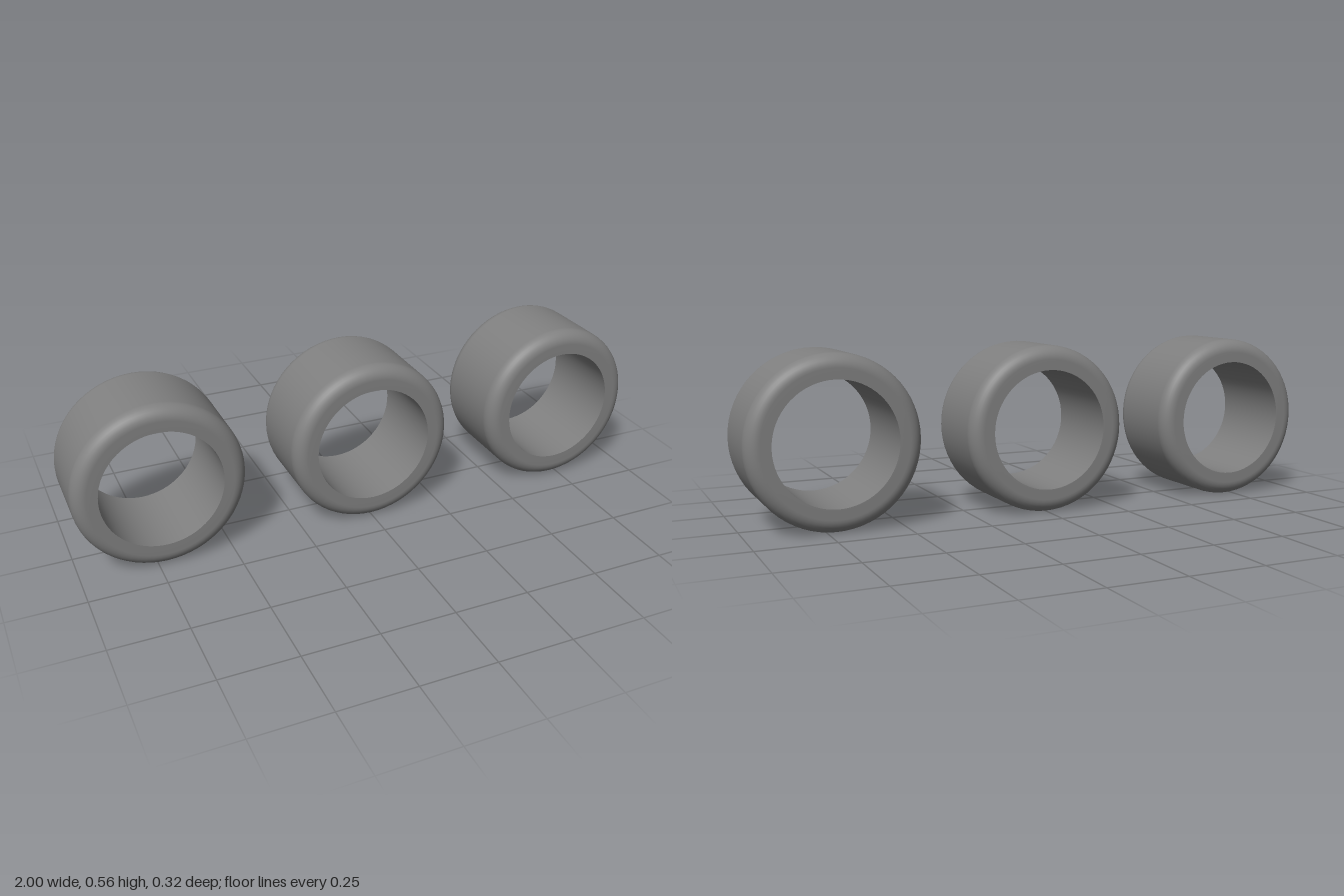
import * as THREE from 'three';

const OUTER = 0.28, BORE = 0.2, HALF = 0.16, FILLET = 0.045, SPACING = 0.72, SEGMENTS = 64;

// Outer skin profile: end face, rounded shoulder, tread, rounded shoulder, end face
function shellProfile() {
  const points = [new THREE.Vector2(BORE, -HALF)];
  for (const side of [-1, 1]) {
    for (let i = 0; i <= 8; i++) {
      const a = (side < 0 ? i / 8 - 1 : i / 8) * Math.PI / 2;
      points.push(new THREE.Vector2(
        OUTER - FILLET + FILLET * Math.cos(a),
        side * (HALF - FILLET) + FILLET * Math.sin(a)));
    }
  }
  points.push(new THREE.Vector2(BORE, HALF));
  return points;
}

export function createModel() {
  const model = new THREE.Group();
  model.name = 'ringSet';
  const grey = new THREE.MeshStandardMaterial({ color: 0x808080 });
  grey.name = 'grey';

  // Shell and bore are separate so the inner rim stays sharp
  const shell = new THREE.LatheGeometry(shellProfile(), SEGMENTS).rotateX(Math.PI / 2);
  const bore = new THREE.LatheGeometry(
    [new THREE.Vector2(BORE, HALF), new THREE.Vector2(BORE, -HALF)], SEGMENTS).rotateX(Math.PI / 2);

  // Three identical rings in a row
  ['rightRing', 'middleRing', 'leftRing'].forEach((name, i) => {
    const ring = new THREE.Group();
    ring.name = name;
    for (const [part, geometry] of [['shell', shell], ['bore', bore]]) {
      const mesh = new THREE.Mesh(geometry, grey);
      mesh.name = part;
      ring.add(mesh);
    }
    ring.position.set((i - 1) * SPACING, OUTER, 0);
    model.add(ring);
  });
  return model;
}
